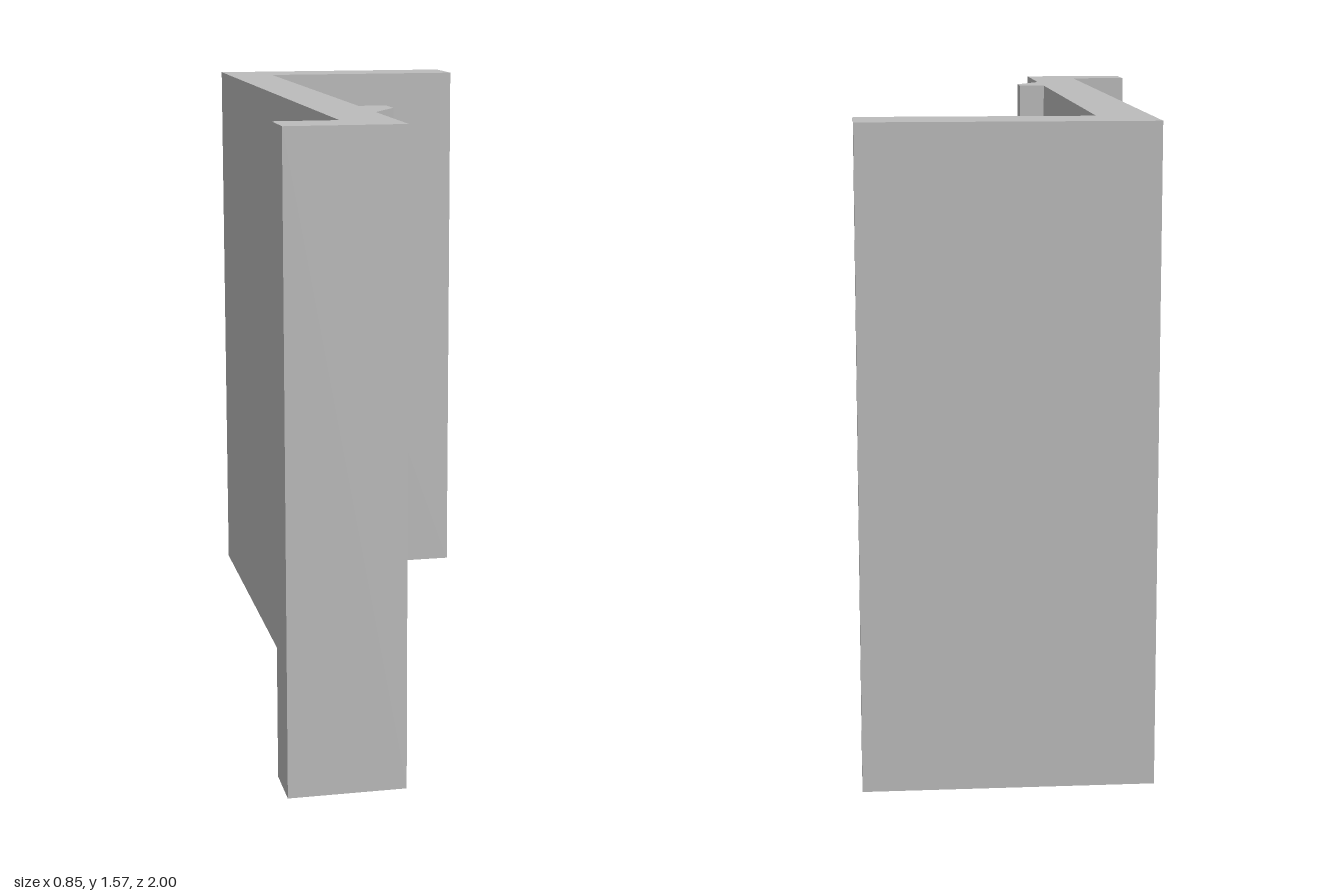
import * as THREE from 'three';

const HEIGHT = 1.565;

// Plan outline as [x, z] points: web, rear flange, snap ridge and front lip
const OUTLINE = [
  [-0.27, -1], [0.42, -1], [0.42, -0.825], [-0.14, -0.825],  // rear flange
  [-0.14, 0.455], [-0.07, 0.455], [-0.07, 0.535], [-0.14, 0.655],  // snap ridge
  [-0.14, 1], [-0.425, 1], [-0.425, 0.865], [-0.27, 0.865],  // front lip
];

export function createModel() {
  const group = new THREE.Group();
  group.name = 'channelProfile';

  const grey = new THREE.MeshStandardMaterial({ color: 0xbcbcbc });
  grey.name = 'plain grey';

  // Extrude the plan outline, then stand it upright
  const shape = new THREE.Shape(OUTLINE.map(([x, z]) => new THREE.Vector2(x, -z)));
  const geometry = new THREE.ExtrudeGeometry(shape, { depth: HEIGHT, bevelEnabled: false });
  geometry.rotateX(-Math.PI / 2);

  const profile = new THREE.Mesh(geometry, grey);
  profile.name = 'extrudedBracket';
  group.add(profile);
  return group;
}
